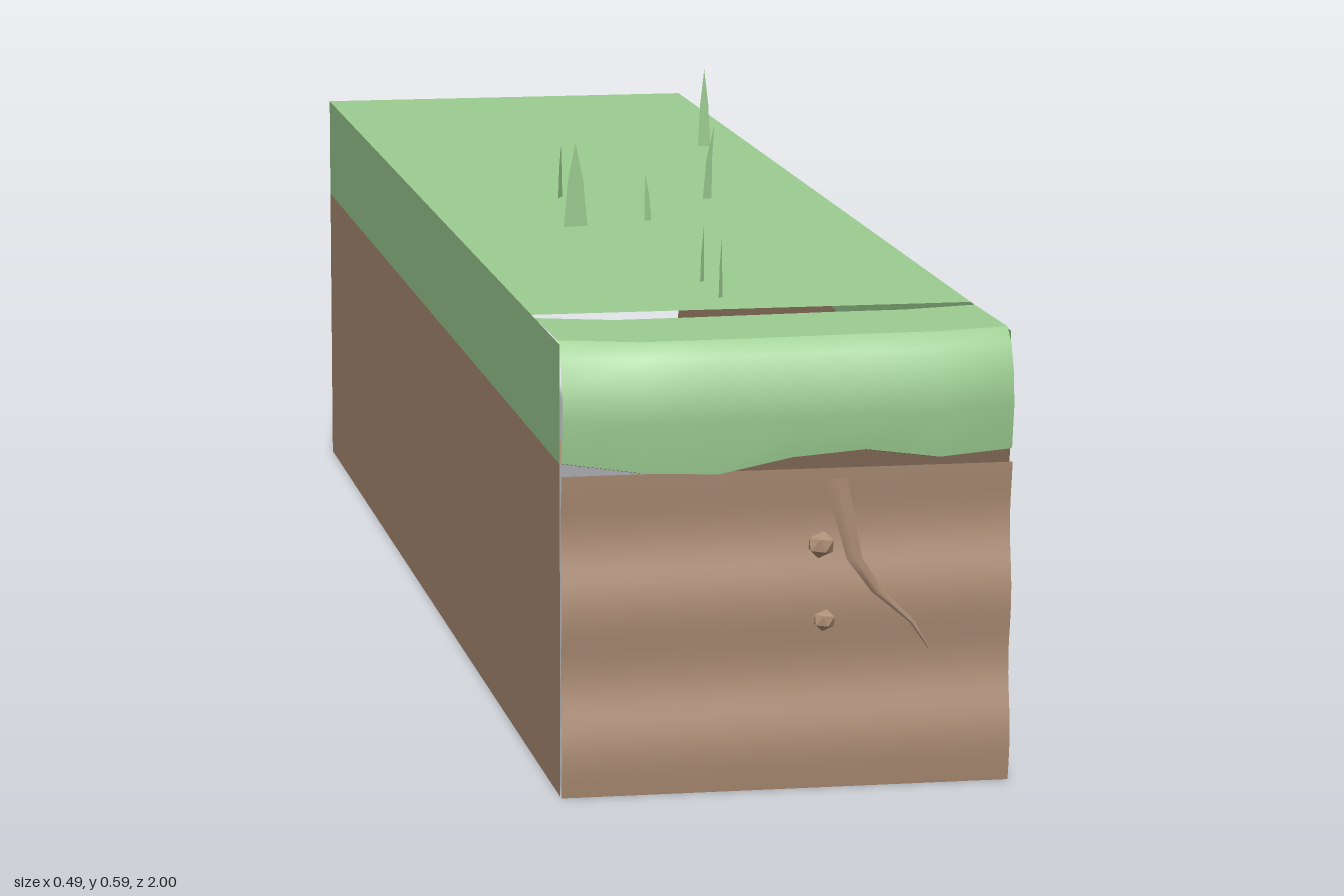
import * as THREE from 'three';

const mat = (name, color) => {
  const m = new THREE.MeshStandardMaterial({ color, side: THREE.DoubleSide });
  m.name = name;
  return m;
};

// Surface through rows of points: each row runs along +x, rows go back to front or top to bottom
function sheet(rows) {
  const n = rows[0].length, index = [];
  for (let j = 0; j < rows.length - 1; j++) {
    for (let i = 0; i < n - 1; i++) {
      const a = j * n + i, b = a + n;
      index.push(a, b, a + 1, b, b + 1, a + 1);
    }
  }
  const g = new THREE.BufferGeometry();
  g.setAttribute('position', new THREE.Float32BufferAttribute(rows.flat(2), 3));
  g.setIndex(index);
  g.computeVertexNormals();
  return g;
}

export function createModel() {
  const model = new THREE.Group();
  const grass = mat('grass green', 0x9ccd91);
  const earth = mat('earth brown', 0xad8e76);
  const add = (name, geometry, material) => {
    const mesh = new THREE.Mesh(geometry, material);
    mesh.name = name;
    model.add(mesh);
    return mesh;
  };
  const W = 0.243, TOP = 0.488, SEAM = 0.36, END = 0.952;

  // Side walls: earth below, turf band above
  for (const s of [-1, 1]) {
    const wall = (name, y0, y1, material) => {
      const m = add(name, new THREE.PlaneGeometry(END + 1, y1 - y0), material);
      m.rotation.y = s * Math.PI / 2;
      m.position.set(s * W, (y0 + y1) / 2, (END - 1) / 2);
    };
    wall('earthSide', 0, SEAM, earth);
    wall('turfSide', SEAM, TOP, grass);
  }

  // Flat turf top
  const top = add('turfTop', new THREE.PlaneGeometry(2 * W, 1.765), grass);
  top.rotation.x = -Math.PI / 2;
  top.position.set(0, TOP, -0.1175);

  // Gently rippled front face
  const frontZ = y => 0.961 - 0.005 * Math.sin((y - 0.09) / 0.155 * Math.PI * 2);
  const frontRows = [];
  for (let j = 0; j <= 24; j++) {
    const y = 0.349 * (1 - j / 24);
    frontRows.push([-W, 0, W].map(x => [x, y, frontZ(y)]));
  }
  add('earthFront', sheet(frontRows), earth);

  // Overhanging turf lip: columns of x, forward offset, lower edge height
  const lip = [
    [-W, -0.027, 0.363], [-0.16, 0, 0.355], [-0.08, -0.002, 0.351], [0, -0.006, 0.366],
    [0.08, -0.011, 0.371], [0.16, -0.012, 0.36], [W, -0.03, 0.363],
  ];
  const lipRow = (z, y) => lip.map(([x, w]) => [x, y, z + w]);
  const lowEdge = lip.map(([x, w, y]) => [x, y, 0.992 + w]);
  add('turfLipTop', sheet([lipRow(0.813, TOP), lipRow(0.965, 0.49)]), grass);
  add('turfLipFront', sheet([
    lipRow(0.965, 0.49), lipRow(0.984, 0.475), lipRow(0.997, 0.445), lipRow(1, 0.41), lowEdge,
  ]), grass);
  add('lipUnderside', sheet([
    lowEdge, lip.map(([x, w, y]) => [x, y - 0.005, 0.965 + w]),
    lip.map(([x, w, y]) => [x, y - 0.004, 0.82 + w]),
  ]), earth);

  // Root running down the front: left x, right x, y
  const root = [
    [0.038, 0.063, 0.339], [0.063, 0.08, 0.25], [0.091, 0.105, 0.213],
    [0.131, 0.138, 0.18], [0.152, 0.154, 0.15],
  ];
  add('root', sheet(root.map(([l, r, y]) =>
    [[l, y, 0.967], [(l + r) / 2, y, 0.974], [r, y, 0.967]])), earth);

  // Pebbles
  for (const [x, y, r] of [[0.035, 0.267, 0.016], [0.039, 0.185, 0.013]]) {
    const p = add('pebble', new THREE.IcosahedronGeometry(r, 0), earth);
    p.scale.set(1, 0.9, 0.7);
    p.rotation.z = 0.4;
    p.position.set(x, y, 0.968);
  }

  // Grass blades: x, z, height, base width, lean, turn
  const blades = [
    [-0.094, 0.16, 0.1, 0.03, 0, 0.2], [-0.075, -0.07, 0.067, 0.018, 0.004, 1.1],
    [0.1, -0.03, 0.089, 0.014, 0.011, 0.5], [0.181, -0.48, 0.1, 0.017, 0, 0.1],
    [-0.002, 0.13, 0.057, 0.01, -0.004, 0.4], [-0.021, 0.58, 0.06, 0.009, 0.004, 0.9],
    [-0.021, 0.69, 0.067, 0.009, 0.003, 0.9],
  ];
  for (const [x, z, h, w, lean, turn] of blades) {
    const shape = new THREE.Shape([
      [-w / 2, 0], [w / 2, 0], [w * 0.32 + lean * 0.3, h * 0.55], [lean, h], [-w * 0.32 + lean * 0.3, h * 0.55],
    ].map(p => new THREE.Vector2(...p)));
    const blade = add('grassBlade', new THREE.ShapeGeometry(shape), grass);
    blade.position.set(x, TOP, z);
    blade.rotation.y = turn;
  }
  return model;
}
